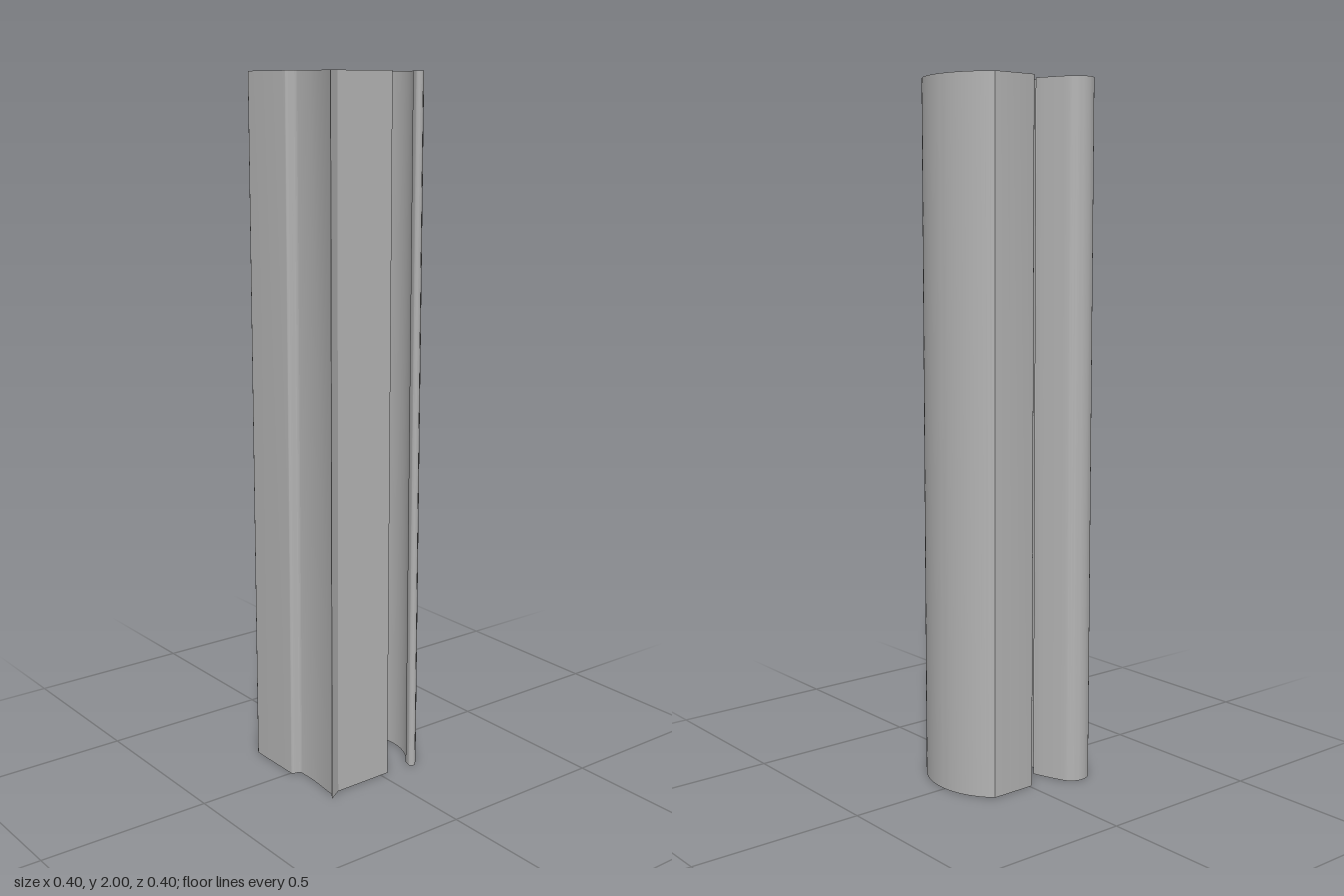
import * as THREE from 'three';
import { toCreasedNormals } from 'three/addons/utils/BufferGeometryUtils.js';

const LENGTH = 2;

// Points of the circular arc from a through b to c, leaving out a itself
function arc(a, b, c, steps) {
  const [ax, ay] = a, [bx, by] = b, [cx, cy] = c;
  const d = 2 * (ax * (by - cy) + bx * (cy - ay) + cx * (ay - by));
  const A = ax * ax + ay * ay, B = bx * bx + by * by, C = cx * cx + cy * cy;
  const ox = (A * (by - cy) + B * (cy - ay) + C * (ay - by)) / d;
  const oy = (A * (cx - bx) + B * (ax - cx) + C * (bx - ax)) / d;
  const r = Math.hypot(ax - ox, ay - oy);
  const start = Math.atan2(ay - oy, ax - ox);
  let sweep = Math.atan2(cy - oy, cx - ox) - start;
  const ccw = (bx - ax) * (cy - ay) - (by - ay) * (cx - ax) > 0;
  if (ccw && sweep < 0) sweep += Math.PI * 2;
  if (!ccw && sweep > 0) sweep -= Math.PI * 2;
  return Array.from({ length: steps }, (_, i) => {
    const t = start + sweep * (i + 1) / steps;
    return [ox + r * Math.cos(t), oy + r * Math.sin(t)];
  });
}

// Outline builder with straight runs and three-point arcs
function outline(x, y) {
  const pts = [[x, y]];
  const pen = {
    line(...p) { pts.push(...p); return pen; },
    arc(mid, end, steps = 8) { pts.push(...arc(pts[pts.length - 1], mid, end, steps)); return pen; },
    points() { return pts.map(p => new THREE.Vector2(...p)); }
  };
  return pen;
}

export function createModel() {
  const group = new THREE.Group();
  const grey = new THREE.MeshStandardMaterial({ color: 0xb3b3b3 });
  grey.name = 'plain grey';

  // Cross-section in x and z
  const section = new THREE.Shape(outline(-0.2, 0)
    // clip arm with rounded head and barb
    .line([-0.2, -0.17])
    .arc([-0.152, -0.199], [-0.108, -0.174], 14)
    .arc([-0.09, -0.13], [-0.073, -0.079], 6)
    .arc([-0.0725, -0.074], [-0.077, -0.073], 4)
    .line([-0.092, -0.082])
    .arc([-0.098, -0.083], [-0.103, -0.078], 4)
    // channel beside the arm, then the rounded shoulder
    .line([-0.103, -0.028], [-0.022, -0.028], [-0.022, -0.118])
    .arc([-0.014, -0.136], [0.005, -0.143], 8)
    // curved lip, outside, tip and inside
    .line([0.129, -0.143])
    .arc([0.199, 0.02], [0.123, 0.179], 28)
    .arc([0.11, 0.179], [0.108, 0.166], 8)
    .line([0.112, 0.151])
    .arc([0.163, 0.027], [0.112, -0.092], 24)
    .arc([0.098, -0.102], [0.082, -0.105], 6)
    .line([0.068, -0.105])
    .arc([0.06, -0.102], [0.057, -0.095], 4)
    // chamfered body, pointed fin and notch
    .line([0.057, 0.02], [0.059, 0.02], [0.059, 0.113], [0.025, 0.171], [-0.158, 0.173],
      [-0.198, 0.197], [-0.184, 0.175], [-0.174, 0.075], [-0.174, 0.02])
    .arc([-0.177, 0.012], [-0.185, 0.009], 4)
    .line([-0.191, 0.008])
    .arc([-0.197, 0.006], [-0.1995, 0.003], 3)
    .points());

  // Round bore
  const bore = new THREE.Path().absarc(-0.06, 0.075, 0.059, 0, Math.PI * 2);
  // Long slot in the arm
  const slot = new THREE.Path(outline(-0.169, -0.02)
    .line([-0.169, -0.16])
    .arc([-0.1525, -0.169], [-0.136, -0.16])
    .line([-0.136, -0.02])
    .arc([-0.1525, -0.011], [-0.169, -0.02])
    .points().slice(0, -1));
  section.holes.push(bore, slot);

  const geometry = new THREE.ExtrudeGeometry(section, {
    depth: LENGTH, bevelEnabled: false, curveSegments: 24
  });
  geometry.rotateX(Math.PI / 2).translate(0, LENGTH, 0);

  const profile = new THREE.Mesh(toCreasedNormals(geometry, Math.PI / 6), grey);
  profile.name = 'sealProfile';
  group.add(profile);
  return group;
}
